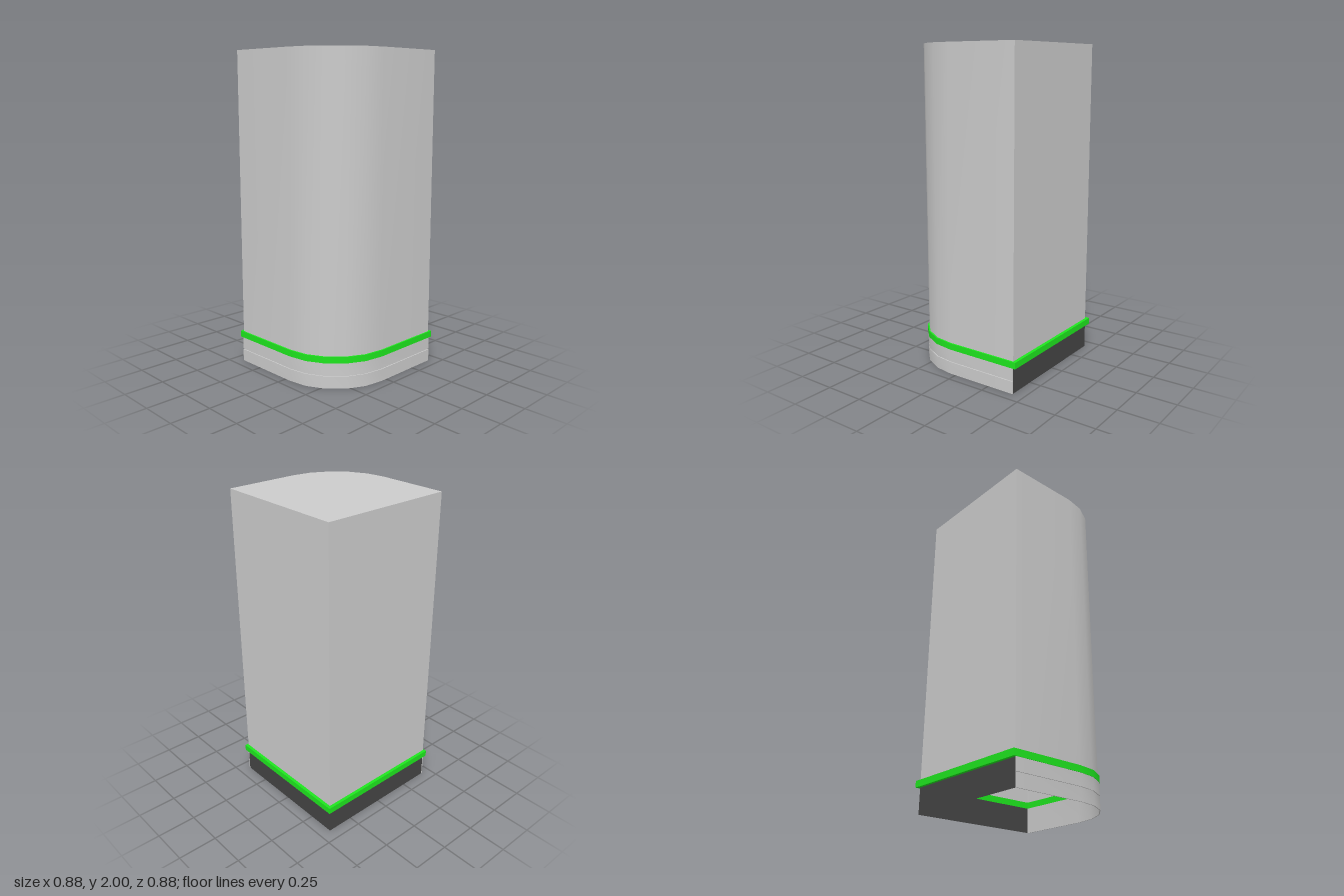
import * as THREE from 'three';
import { toCreasedNormals } from 'three/addons/utils/BufferGeometryUtils.js';

const grey = new THREE.MeshStandardMaterial({ color: 0xcccccc, side: THREE.DoubleSide });
const green = new THREE.MeshStandardMaterial({ color: 0x1ee61e, side: THREE.DoubleSide });
const dark = new THREE.MeshStandardMaterial({ color: 0x444444, side: THREE.DoubleSide });

const BACK = -0.425;    // square sides at -x and -z
const CENTRE = 0.04;    // centre of the rounded corner
const FACE = 0.43;      // front and side faces at +z and +x

// Front and side run, as [x, -z]: straight, five-sided arc, straight
function frontRun(face, back = BACK) {
  const r = face - CENTRE;
  const pts = [new THREE.Vector2(back, -face)];
  for (let i = 0; i <= 5; i++) {
    const a = (i / 5) * Math.PI / 2;
    pts.push(new THREE.Vector2(CENTRE + r * Math.sin(a), -CENTRE - r * Math.cos(a)));
  }
  pts.push(new THREE.Vector2(face, -back));
  return pts;
}

// Whole footprint, closed by the square back corner
const outline = (face, back) => [...frontRun(face, back), new THREE.Vector2(back, -back)];

// Thin upright wall along a run of points
function wall(pts, y0, y1) {
  const pos = [];
  for (let i = 0; i < pts.length - 1; i++) {
    const a = pts[i], b = pts[i + 1];
    pos.push(a.x, y0, -a.y, b.x, y0, -b.y, b.x, y1, -b.y);
    pos.push(a.x, y0, -a.y, b.x, y1, -b.y, a.x, y1, -a.y);
  }
  const g = new THREE.BufferGeometry();
  g.setAttribute('position', new THREE.Float32BufferAttribute(pos, 3));
  return toCreasedNormals(g, 0.6);
}

// Flat shape raised from y0 to y1
function raise(shape, y0, y1) {
  const g = new THREE.ExtrudeGeometry(shape, { depth: y1 - y0, bevelEnabled: false });
  g.rotateX(-Math.PI / 2).translate(0, y0, 0);
  return toCreasedNormals(g, 0.6);
}

export function createModel() {
  const group = new THREE.Group();
  const add = (name, geometry, material) => {
    const mesh = new THREE.Mesh(geometry, material);
    mesh.name = name;
    group.add(mesh);
  };

  // Tall hollow body, open underneath
  const body = outline(FACE, BACK);
  add('bodyWalls', wall([...body, body[0]], 0.2, 2), grey);
  const top = new THREE.ShapeGeometry(new THREE.Shape(body));
  add('bodyTop', top.rotateX(-Math.PI / 2).translate(0, 2, 0), grey);

  // Green band round the foot of the body
  const band = new THREE.Shape(outline(0.44, -0.445));
  band.holes.push(new THREE.Path(body));
  add('band', raise(band, 0.16, 0.2), green);

  // Plinth skirt below the front and rounded side, with a groove halfway up
  add('skirtBacking', wall(frontRun(FACE), 0, 0.16), grey);
  const strip = new THREE.Shape([...frontRun(0.437), ...frontRun(0.431).reverse()]);
  add('lowerSkirt', raise(strip, 0, 0.077), grey);
  add('upperSkirt', raise(strip, 0.083, 0.16), grey);

  // Dark plinth panels on the two square sides
  const corner = [[FACE, -BACK], [BACK, -BACK], [BACK, -FACE]].map(p => new THREE.Vector2(...p));
  add('darkPlinth', wall(corner, 0, 0.16), dark);

  return group;
}
